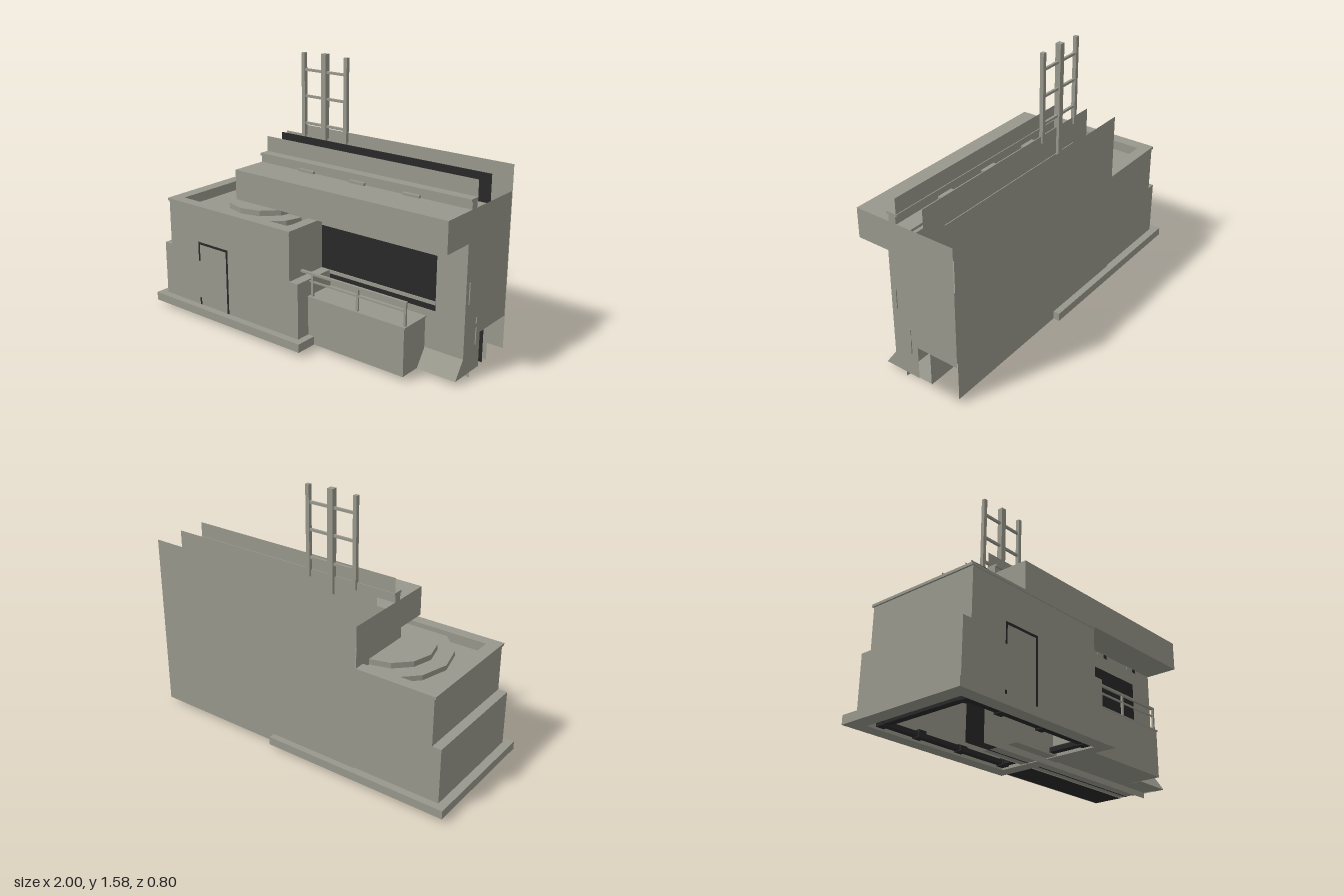
import * as THREE from 'three';

const concrete = new THREE.MeshStandardMaterial({ color: 0x99988d, side: THREE.DoubleSide });
concrete.name = 'concrete grey';
const dark = new THREE.MeshStandardMaterial({ color: 0x292929 });
dark.name = 'dark grey';

export function createModel() {
  const root = new THREE.Group();
  root.name = 'station';

  const add = (name, geo, mat = concrete) => {
    const m = new THREE.Mesh(geo, mat);
    m.name = name;
    root.add(m);
    return m;
  };
  // Box given by its limits on each axis
  const box = (name, x0, x1, y0, y1, z0, z1, mat) =>
    add(name, new THREE.BoxGeometry(x1 - x0, y1 - y0, z1 - z0)
      .translate((x0 + x1) / 2, (y0 + y1) / 2, (z0 + z1) / 2), mat);
  // Upright sheet facing the front
  const sheet = (name, x0, x1, y0, y1, z, mat) =>
    add(name, new THREE.PlaneGeometry(x1 - x0, y1 - y0)
      .translate((x0 + x1) / 2, (y0 + y1) / 2, z), mat);
  // Level sheet, facing up (side 1) or down (side -1)
  const deck = (name, x0, x1, z0, z1, y, side = 1, mat) =>
    add(name, new THREE.PlaneGeometry(x1 - x0, z1 - z0).rotateX(-side * Math.PI / 2)
      .translate((x0 + x1) / 2, y, (z0 + z1) / 2), mat);
  // Hollow rectangular ring: outer limits, inner limits, height range
  const ring = (name, [x0, x1, z], [a0, a1, c], y0, y1, mat) => {
    const rect = (p, q, r) => [[p, -r], [q, -r], [q, r], [p, r]].map(v => new THREE.Vector2(...v));
    const s = new THREE.Shape(rect(x0, x1, z));
    s.holes.push(new THREE.Path(rect(a0, a1, c)));
    const g = new THREE.ExtrudeGeometry(s, { depth: y1 - y0, bevelEnabled: false });
    return add(name, g.rotateX(-Math.PI / 2).translate(0, y0, 0), mat);
  };
  // Flat wall across the building, outlined by [z, y] points
  const crossWall = (name, x, pts) =>
    add(name, new THREE.ShapeGeometry(new THREE.Shape(pts.map(p => new THREE.Vector2(...p))))
      .rotateY(-Math.PI / 2).translate(x, 0, 0));

  // Hollow stepped entrance building
  ring('basePlinth', [-1, 0.152, 0.4], [-0.91, 0.07, 0.32], 0.03, 0.08);
  ring('lowerTier', [-0.95, 0.11, 0.355], [-0.88, 0.04, 0.31], 0.08, 0.41);
  ring('upperTier', [-0.895, 0.05, 0.355], [-0.83, -0.01, 0.293], 0.41, 0.69);
  ring('parapetCap', [-0.905, 0.055, 0.36], [-0.83, -0.01, 0.293], 0.688, 0.703);
  box('entranceRoof', -0.84, 0.0, 0.62, 0.645, -0.3, 0.3);

  // Stepped twelve-sided roof disc, the wider step cut off by the parapet
  const sides = 12, a = Math.PI * 2 / sides, pts = [];
  for (let i = 0; i < sides; i++) {
    pts.push([-0.42 - 0.335 * Math.cos(i * a), 0.335 * Math.sin(i * a)]);
  }
  const zMax = 0.292, outline = [];
  pts.forEach((p, i) => {
    const q = pts[(i + 1) % sides];
    if (Math.abs(p[1]) <= zMax) outline.push(new THREE.Vector2(...p));
    if ((Math.abs(p[1]) > zMax) !== (Math.abs(q[1]) > zMax)) {
      const edge = zMax * Math.sign(p[1] + q[1]);
      const t = (edge - p[1]) / (q[1] - p[1]);
      outline.push(new THREE.Vector2(p[0] + t * (q[0] - p[0]), edge));
    }
  });
  add('wideRoofDisc', new THREE.ExtrudeGeometry(new THREE.Shape(outline), { depth: 0.035, bevelEnabled: false })
    .rotateX(-Math.PI / 2).translate(0, 0.64, 0));
  add('topRoofDisc', new THREE.CylinderGeometry(0.238, 0.238, 0.06, sides).toNonIndexed()
    .translate(-0.42, 0.678, 0)).geometry.computeVertexNormals();

  // Door outline on the front
  sheet('doorTop', -0.66, -0.42, 0.465, 0.48, 0.3565, dark);
  sheet('doorRight', -0.435, -0.42, 0.08, 0.465, 0.3565, dark);
  sheet('doorLeftUpper', -0.66, -0.647, 0.36, 0.465, 0.3565, dark);
  sheet('doorLeftLower', -0.66, -0.647, 0.08, 0.125, 0.3565, dark);

  // Dark piping under the floor, with clips
  ring('floorPipe', [-0.86, 0.05, 0.3], [-0.82, 0.01, 0.265], 0.04, 0.065, dark);
  for (const z of [-0.28, 0.28]) {
    for (const x of [-0.84, -0.6, -0.3, 0.03]) {
      box('pipeClip', x - 0.025, x + 0.025, 0.035, 0.075, z - 0.025, z + 0.025, dark);
    }
  }

  // Hall: tall parallel sheets
  const end = 0.993;
  sheet('backSheet', -0.42, end, 0.03, 1.09, -0.361);
  sheet('rearInnerSheet', -0.42, end, 0.03, 1.09, -0.175);
  sheet('darkInnerSheet', -0.42, end, 0.03, 1.09, -0.13, dark);
  sheet('middleSheet', -0.42, end, 0, 1.09, 0);
  sheet('frontWall', -0.42, end, 0.03, 0.77, 0.07);
  deck('rearDeck', 0.11, end, -0.36, -0.09, 0.69);
  deck('floor', -0.24, end, -0.175, 0.07, 0.035);
  deck('rearUnderside', 0.152, end, -0.36, -0.175, 0.032, -1, dark);

  // Hall end walls
  crossWall('leftEndWall', end, [[0.14, 0.03], [0.07, 0.13], [0.07, 0.77], [0.27, 0.77], [0.27, 0.945],
    [-0.355, 0.945], [-0.355, 0.23], [-0.09, 0.23], [-0.09, 0.03]]);
  crossWall('rightEndWall', -0.42, [[0.07, 0.65], [0.07, 0.77], [0.27, 0.77], [0.27, 0.945],
    [-0.355, 0.945], [-0.355, 0.65]]);
  const foot = new THREE.Shape([[0.07, 0.03], [0.14, 0.03], [0.07, 0.13]].map(p => new THREE.Vector2(...p)));
  add('slopedFoot', new THREE.ExtrudeGeometry(foot, { depth: 0.238, bevelEnabled: false })
    .rotateY(-Math.PI / 2).translate(end, 0, 0));

  // Canopy, roof strips and ridge
  box('canopy', -0.42, end, 0.77, 0.945, 0.07, 0.27);
  deck('hallRoof', -0.42, end, -0.09, 0.07, 0.945);
  deck('rearRoofStrip', -0.28, 0.84, -0.18, -0.09, 0.93);
  deck('rearRoofEnd', 0.84, end, -0.11, -0.09, 0.93);
  box('ridgeStem', -0.42, end, 0.945, 0.985, 0.005, 0.05);
  box('ridgeCap', -0.42, end, 0.985, 1.0, -0.005, 0.06);
  for (const x of [-0.07, 0.283, 0.635]) {
    box('roofVent', x - 0.052, x + 0.052, 0.945, 0.96, -0.13, 0.068);
  }

  // Flat lamps on the wall below the canopy
  for (const x of [-0.207, 0.09, 0.387, 0.535, 0.832]) {
    box('lampBody', x - 0.07, x + 0.03, 0.748, 0.77, 0.07, 0.073);
    box('lampGlass', x - 0.014, x + 0.014, 0.748, 0.768, 0.072, 0.076, dark);
  }

  // Long window in the front wall
  sheet('window', 0.05, 0.815, 0.355, 0.665, 0.073, dark);
  box('windowRail', 0.05, 0.815, 0.39, 0.41, 0.073, 0.079);

  // Raised platform with railing
  box('platform', 0.11, 0.753, 0.03, 0.305, 0.07, 0.267);
  box('platformLip', 0.105, 0.76, 0.304, 0.313, 0.07, 0.27);
  for (const x of [0.13, 0.44, 0.747]) box('railPost', x - 0.007, x + 0.007, 0.31, 0.44, 0.245, 0.257);
  box('handRail', 0.05, 0.756, 0.438, 0.451, 0.243, 0.258);
  box('lowRail', 0.11, 0.753, 0.393, 0.403, 0.247, 0.255);

  // Mast ladder on its stand
  box('mastStand', -0.28, 0.02, 0.645, 0.9, -0.33, -0.18);
  for (const [x, w, y0, y1] of [[-0.281, 0.023, 1.05, 1.57], [-0.128, 0.034, 0.85, 1.577], [0.024, 0.023, 1.05, 1.57]]) {
    box('mastPost', x - w / 2, x + w / 2, y0, y1, -0.175 - w / 2, -0.175 + w / 2);
  }
  for (const y of [1.16, 1.32, 1.473]) box('mastRung', -0.281, 0.024, y - 0.007, y + 0.007, -0.182, -0.168);

  // Small fittings on the left end and behind the back parapet
  box('endHandleUpper', 0.99, 0.999, 0.43, 0.55, 0.032, 0.042);
  box('endHandleLower', 0.99, 0.999, 0.175, 0.27, -0.05, -0.042);
  box('endHandleSmall', 0.99, 0.999, 0.295, 0.33, -0.05, -0.042);
  for (const x of [-0.25, 0.104, 0.459, 0.814]) box('backBracket', x - 0.01, x + 0.01, 0.69, 0.708, -0.36, -0.345, dark);

  return root;
}
